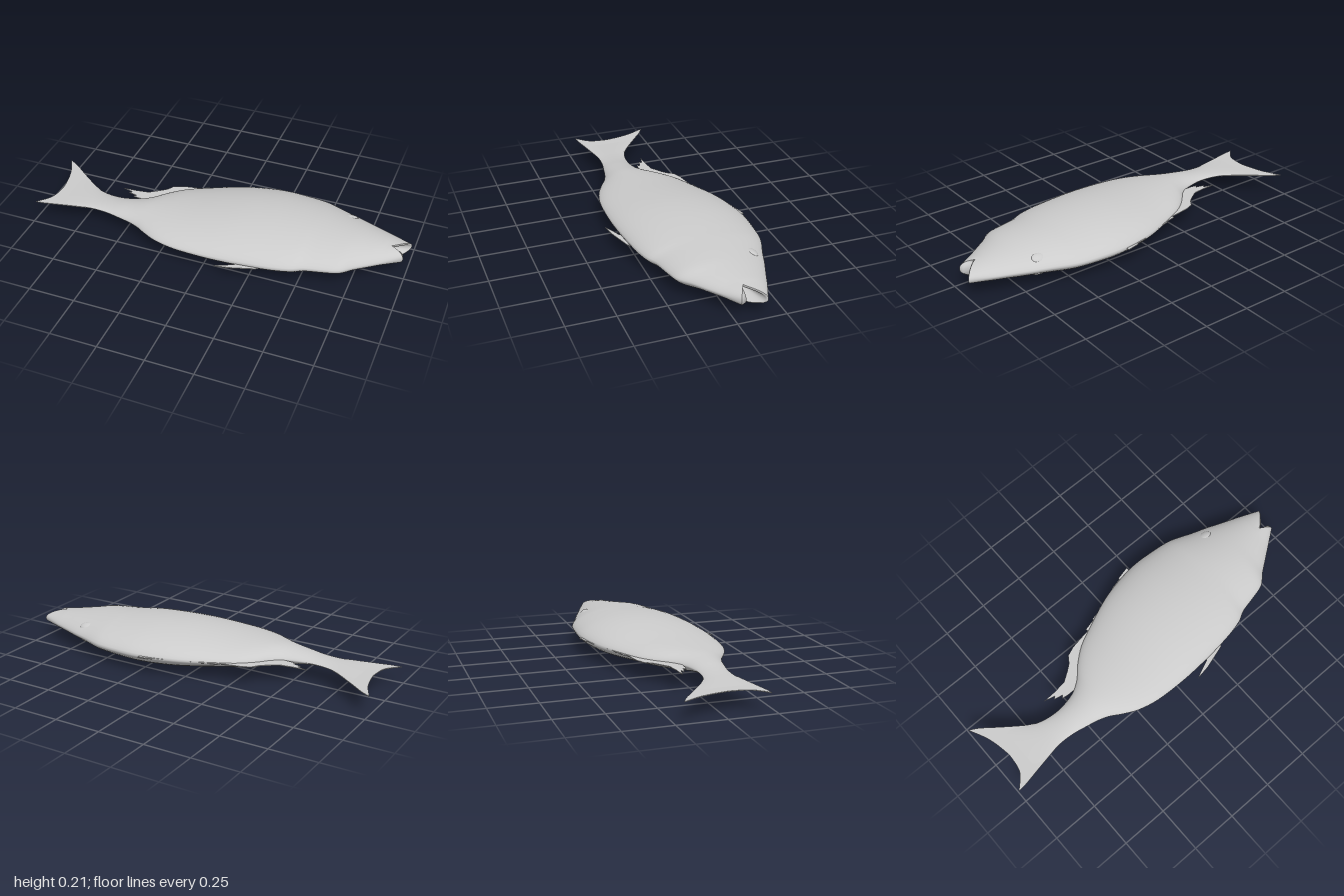
import * as THREE from 'three';

const MID = 0.105; // height of the plane that halves the fish lying on its side
const SIDES = 40;
const mat = new THREE.MeshStandardMaterial({ color: 0xcccccc, side: THREE.DoubleSide });

// Body stations: x, back edge z, belly edge z, half thickness
const stations = [
  [-0.86, -0.11, 0.185, 0.003], [-0.75, -0.03, 0.165, 0.009], [-0.68, 0, 0.156, 0.013],
  [-0.6, 0.011, 0.16, 0.021], [-0.53, 0.005, 0.173, 0.032], [-0.46, -0.015, 0.188, 0.042],
  [-0.4, -0.055, 0.21, 0.051], [-0.34, -0.12, 0.245, 0.057], [-0.26, -0.185, 0.283, 0.064],
  [-0.15, -0.24, 0.308, 0.074], [0, -0.305, 0.315, 0.09], [0.13, -0.34, 0.311, 0.101],
  [0.26, -0.358, 0.3, 0.104], [0.38, -0.354, 0.284, 0.1], [0.47, -0.345, 0.262, 0.094],
  [0.53, -0.33, 0.232, 0.09], [0.62, -0.295, 0.211, 0.083], [0.7, -0.268, 0.188, 0.075],
  [0.76, -0.245, 0.136, 0.067], [0.82, -0.222, 0.092, 0.059], [0.88, -0.2, 0.048, 0.051],
];

// Skin a list of closed rings of points
function loft(name, rings) {
  const pos = [], index = [], n = rings[0].length;
  rings.forEach(r => r.forEach(p => pos.push(p.x, p.y, p.z)));
  for (let i = 0; i < rings.length - 1; i++)
    for (let j = 0; j < n; j++) {
      const a = i * n + j, b = i * n + (j + 1) % n;
      index.push(a, b, a + n, b, b + n, a + n);
    }
  const g = new THREE.BufferGeometry();
  g.setAttribute('position', new THREE.Float32BufferAttribute(pos, 3));
  g.setIndex(index);
  g.computeVertexNormals();
  const mesh = new THREE.Mesh(g, mat);
  mesh.name = name;
  return mesh;
}

const ring = fn => Array.from({ length: SIDES }, (_, j) => {
  const a = j / SIDES * Math.PI * 2;
  return fn(Math.cos(a), Math.sin(a));
});
const power = (v, p) => Math.sign(v) * Math.abs(v) ** p;

// Thin fin in the xz plane, drawn from an outline of [x, z] points
function fin(name, outline, y = MID, curved = false) {
  const pts = outline.map(([x, z]) => new THREE.Vector2(x, z));
  const shape = new THREE.Shape();
  if (curved) {
    // three smooth edges meeting at sharp tips
    shape.moveTo(pts[0].x, pts[0].y);
    shape.splineThru(pts.slice(1, 5));
    shape.splineThru(pts.slice(5, 10));
    shape.splineThru(pts.slice(10));
  } else shape.setFromPoints(pts);
  const g = new THREE.ExtrudeGeometry(shape, { depth: 0.004, bevelEnabled: false, curveSegments: 8 });
  g.rotateX(Math.PI / 2);
  const mesh = new THREE.Mesh(g, mat);
  mesh.position.y = y + 0.002;
  mesh.name = name;
  return mesh;
}

export function createModel() {
  const fish = new THREE.Group();
  fish.name = 'fish';

  // Body: lens-shaped sections along smooth back and belly curves
  const back = new THREE.CatmullRomCurve3(stations.map(s => new THREE.Vector3(s[0], s[3], s[1])), false, 'catmullrom');
  const belly = new THREE.CatmullRomCurve3(stations.map(s => new THREE.Vector3(s[0], s[3], s[2])), false, 'catmullrom');
  const rings = [];
  for (let i = 0; i <= 80; i++) {
    const p = back.getPoint(i / 80), q = belly.getPoint(i / 80);
    rings.push(ring((c, s) => new THREE.Vector3(
      p.x, MID + p.y * power(c, 1.25), (p.z + q.z) / 2 + s * (q.z - p.z) / 2)));
  }

  // Jaws: the last section runs out to a rim notched at the mouth corners
  const rim = ring((c, s) => {
    const t = Math.abs(s), y = MID + 0.044 * power(c, 0.85);
    return s < 0
      ? new THREE.Vector3(0.91 + 0.09 * t, y, -0.06 - 0.09 * t ** 1.2)
      : new THREE.Vector3(0.91 + 0.07 * t, y, -0.06 + 0.035 * t);
  });
  const neck = rings[rings.length - 1];
  for (let k = 1; k <= 5; k++) rings.push(neck.map((p, j) => p.clone().lerp(rim[j], k / 5)));
  fish.add(loft('body', rings));

  // Mouth: flat lower lip, then a hollow narrowing inward
  const throat = new THREE.Vector3(0.8, MID, -0.08);
  const lip = rim.map(p => new THREE.Vector3(p.x - 0.005, MID + (p.y - MID) * 0.86, Math.min(p.z + (p.z < -0.06 ? 0.012 : 0), -0.05)));
  fish.add(loft('mouthLining', [rim, lip, ...[0.4, 0.75, 1].map(k => lip.map(p => p.clone().lerp(throat, k)))]));

  // Tail fin
  fish.add(fin('tailFin', [
    [-0.72, -0.015], [-0.77, -0.045], [-0.87, -0.12], [-0.95, -0.182], [-1, -0.21],
    [-0.95, -0.105], [-0.925, 0], [-0.922, 0.06], [-0.938, 0.14], [-1, 0.21],
    [-0.95, 0.205], [-0.85, 0.185], [-0.72, 0.16],
  ], MID, true));

  // Ragged rear of the back fin
  fish.add(fin('backFin', [
    [-0.18, -0.2], [-0.18, -0.228], [-0.24, -0.218], [-0.3, -0.207], [-0.35, -0.187], [-0.375, -0.15],
    [-0.41, -0.122], [-0.46, -0.088], [-0.53, -0.078], [-0.605, -0.075], [-0.545, -0.06],
    [-0.56, -0.048], [-0.51, -0.038], [-0.525, -0.025], [-0.49, -0.02], [-0.44, -0.02], [-0.36, -0.06],
  ]));

  // Low ridge of spines along the back
  for (let i = 0; i < 6; i++) {
    const x = -0.17 + i * 0.065, z = -0.232 - i * 0.0225;
    fish.add(fin('backSpine', [[x - 0.015, z - 0.008], [x + 0.06, z - 0.026], [x + 0.06, z + 0.03], [x, z + 0.03]]));
  }

  // Belly fin, swept back from the underside
  fish.add(fin('bellyFin', [
    [0.32, 0.285], [0.3, 0.303], [0.17, 0.342], [0.09, 0.355], [0.13, 0.335], [0.19, 0.31], [0.2, 0.29],
  ], 0.095));

  // Eyes: shallow swellings on both sides of the head
  for (const side of [-1, 1]) {
    const eye = new THREE.Mesh(new THREE.SphereGeometry(1, 20, 12), mat);
    eye.scale.set(0.042, 0.014, 0.03);
    eye.position.set(0.65, MID + side * 0.038, -0.222);
    eye.rotation.x = side * -0.45;
    eye.name = side > 0 ? 'upperEye' : 'lowerEye';
    fish.add(eye);
  }
  return fish;
}
